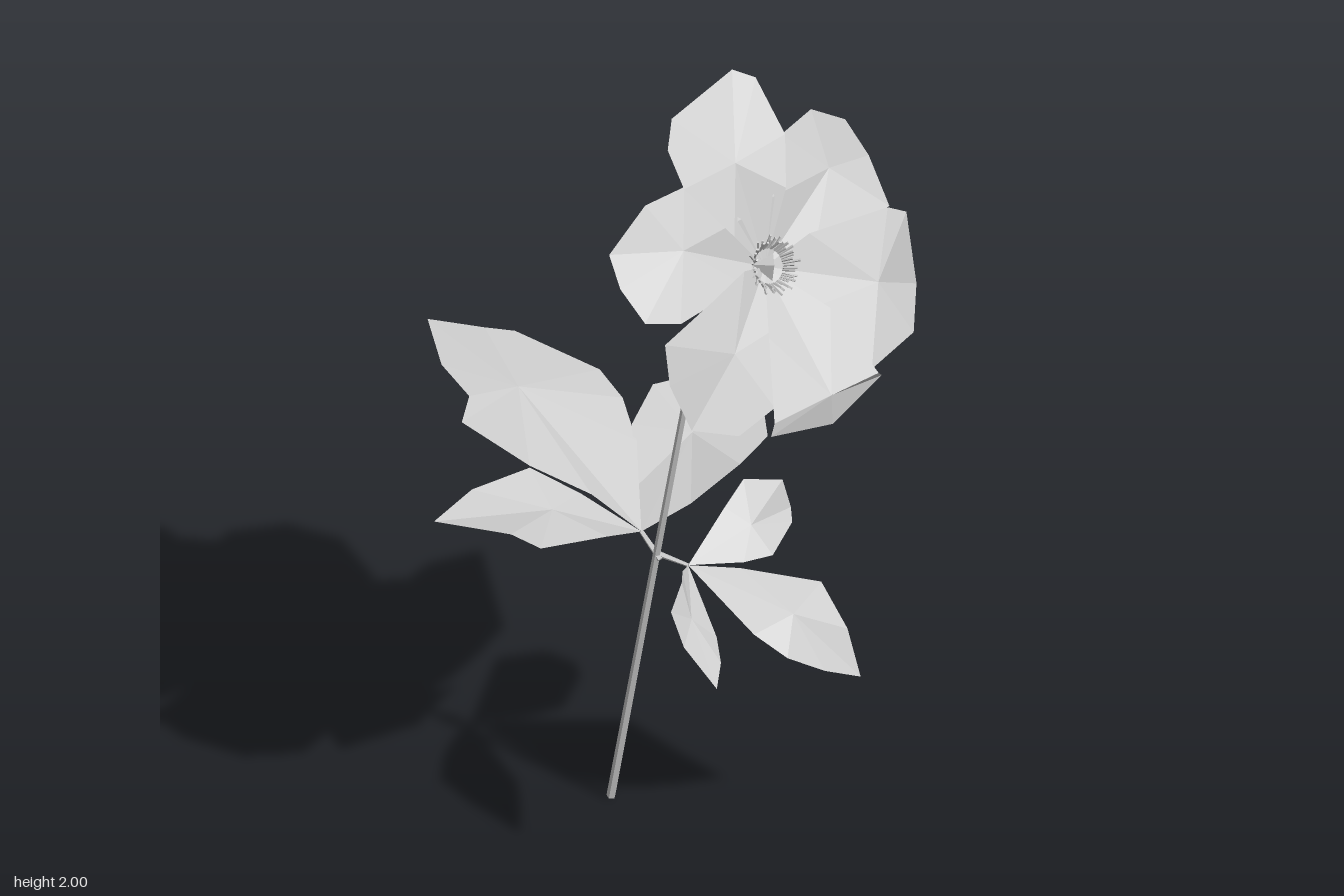
import * as THREE from 'three';

const plantGrey = new THREE.MeshStandardMaterial({ color: 0xcccccc, flatShading: true, side: THREE.DoubleSide });
plantGrey.name = 'plant grey';

const V = (p) => new THREE.Vector3(...p);

function add(parent, name, geometry) {
  const mesh = new THREE.Mesh(geometry, plantGrey);
  mesh.name = name;
  parent.add(mesh);
  return mesh;
}

// Thin faceted blade: a fan of triangles from a raised or sunken middle to its rim
function blade(parent, name, middle, rim) {
  const points = [];
  rim.forEach((p, i) => points.push(V(middle), V(p), V(rim[(i + 1) % rim.length])));
  const geometry = new THREE.BufferGeometry().setFromPoints(points);
  geometry.computeVertexNormals();
  return add(parent, name, geometry);
}

// Tapered rod between two points
function rod(parent, name, a, b, ra, rb, sides = 5) {
  const axis = b.clone().sub(a);
  const mesh = add(parent, name, new THREE.CylinderGeometry(rb, ra, axis.length(), sides));
  mesh.position.copy(a).addScaledVector(axis, 0.5);
  mesh.quaternion.setFromUnitVectors(new THREE.Vector3(0, 1, 0), axis.normalize());
  return mesh;
}

export function createModel() {
  const group = new THREE.Group();
  group.name = 'flower';

  // Stem, bent forward below the bloom
  rod(group, 'stem', V([-0.038, 0, -0.06]), V([-0.037, 1.45, 0.22]), 0.01, 0.007);
  rod(group, 'lowerNeck', V([-0.037, 1.445, 0.219]), V([-0.036, 1.545, 0.28]), 0.007, 0.008);
  rod(group, 'upperNeck', V([-0.036, 1.542, 0.277]), V([-0.036, 1.655, 0.39]), 0.008, 0.011);

  // Six cupped petals, overlapping near the heart
  const heart = [-0.036, 1.66, 0.405];
  const petals = new THREE.Group();
  petals.name = 'petals';
  group.add(petals);
  blade(petals, 'topPetal', [-0.04, 1.89, 0.32], [heart, [-0.11, 1.77, 0.39], [-0.19, 1.9, 0.32],
    [-0.185, 1.97, 0.265], [-0.13, 2, 0.22], [0.08, 2, 0.185], [0.115, 1.98, 0.22], [0.105, 1.89, 0.32], [0.05, 1.81, 0.38]]);
  blade(petals, 'upperRightPetal', [-0.23, 1.78, 0.36], [heart, [-0.075, 1.79, 0.375], [-0.175, 1.89, 0.305],
    [-0.27, 1.88, 0.285], [-0.38, 1.81, 0.29], [-0.405, 1.765, 0.35], [-0.4, 1.71, 0.42], [-0.32, 1.68, 0.445], [-0.12, 1.67, 0.43]]);
  blade(petals, 'lowerRightPetal', [-0.21, 1.57, 0.495], [heart, [-0.11, 1.695, 0.42], [-0.22, 1.685, 0.44], [-0.385, 1.67, 0.465],
    [-0.395, 1.58, 0.49], [-0.36, 1.46, 0.52], [-0.265, 1.42, 0.565], [-0.17, 1.45, 0.575], [-0.075, 1.57, 0.49]]);
  blade(petals, 'bottomPetal', [-0.04, 1.435, 0.612], [heart, [-0.12, 1.57, 0.505], [-0.19, 1.43, 0.595],
    [-0.2, 1.4, 0.595], [-0.03, 1.35, 0.605], [0.13, 1.385, 0.588], [0.09, 1.43, 0.62], [0.055, 1.56, 0.51]]);
  blade(petals, 'lowerLeftPetal', [0.19, 1.56, 0.515], [heart, [0.005, 1.57, 0.49], [0.085, 1.435, 0.605],
    [0.25, 1.42, 0.56], [0.335, 1.46, 0.48], [0.32, 1.65, 0.465], [0.275, 1.68, 0.455], [0.08, 1.695, 0.42]]);
  blade(petals, 'upperLeftPetal', [0.19, 1.78, 0.365], [heart, [0.015, 1.8, 0.375], [0.1, 1.89, 0.315],
    [0.195, 1.9, 0.305], [0.295, 1.82, 0.305], [0.335, 1.72, 0.335], [0.285, 1.675, 0.45], [0.09, 1.67, 0.43]]);

  // Ring of short stamens around a three-sided pistil, facing along the bloom's axis
  const centre = new THREE.Group();
  centre.name = 'flowerCentre';
  centre.position.set(...heart);
  centre.quaternion.setFromUnitVectors(new THREE.Vector3(0, 1, 0), new THREE.Vector3(0, 0.55, 0.83).normalize());
  group.add(centre);
  const count = 48;
  for (let i = 0; i < count; i++) {
    const a = (i / count) * Math.PI * 2;
    const reach = [0.058, 0.05, 0.064, 0.054][i % 4];
    const at = (r, y) => new THREE.Vector3(Math.cos(a) * r, y, Math.sin(a) * r);
    rod(centre, 'stamen', at(0.038, 0.012), at(reach, 0.032 + (i % 3) * 0.005), 0.0025, 0.003, 4);
  }
  const pistil = add(centre, 'pistil', new THREE.ConeGeometry(0.034, 0.03, 3));
  pistil.position.y = 0.02;

  // Small sepals behind the bloom
  for (let i = 0; i < 5; i++) {
    const a = (i / 5) * Math.PI * 2;
    const at = (angle, r, y) => [Math.cos(angle) * r, y, Math.sin(angle) * r];
    blade(centre, 'sepal', at(a, 0.025, -0.006),
      [at(a - 0.6, 0.01, -0.014), at(a - 0.3, 0.03, -0.006), at(a, 0.055, 0), at(a + 0.3, 0.03, -0.006), at(a + 0.6, 0.01, -0.014)]);
  }

  // Rear leaf cluster
  const rear = new THREE.Group();
  rear.name = 'rearLeaves';
  group.add(rear);
  const rearNode = [-0.036, 0.75, 0.03];
  rod(rear, 'rearLeafStalk', V([-0.038, 0.71, 0.09]), V(rearNode), 0.007, 0.005);
  blade(rear, 'rearLeaf', [-0.03, 0.922, -0.35], [rearNode, [-0.095, 0.83, -0.06], [-0.17, 0.885, -0.17],
    [-0.205, 0.925, -0.34], [-0.14, 0.935, -0.385], [-0.12, 0.95, -0.49], [-0.036, 0.955, -0.62],
    [0.035, 0.95, -0.52], [0.08, 0.942, -0.475], [0.145, 0.91, -0.285], [0.13, 0.89, -0.2], [0.085, 0.85, -0.11]]);
  blade(rear, 'rearRightLeaf', [-0.2, 0.84, -0.07], [rearNode, [-0.1, 0.82, -0.09], [-0.17, 0.88, -0.17],
    [-0.31, 0.88, -0.2], [-0.44, 0.875, -0.18], [-0.345, 0.865, -0.045], [-0.32, 0.85, 0.02], [-0.145, 0.8, 0.04]]);
  blade(rear, 'rearLeftLeaf', [0.18, 0.86, -0.04], [rearNode, [0.02, 0.79, -0.05], [0.1, 0.87, -0.14],
    [0.19, 0.91, -0.17], [0.26, 0.915, -0.135], [0.33, 0.92, -0.14], [0.44, 0.89, -0.12],
    [0.285, 0.86, 0.08], [0.185, 0.85, 0.1], [0.07, 0.79, 0.07]]);

  // Front leaf cluster
  const front = new THREE.Group();
  front.name = 'frontLeaves';
  group.add(front);
  const frontNode = [-0.005, 0.705, 0.14];
  rod(front, 'frontLeafStalk', V([-0.038, 0.72, 0.075]), V(frontNode), 0.007, 0.004);
  blade(front, 'frontRightLeaf', [-0.12, 0.695, 0.27], [frontNode, [-0.06, 0.74, 0.18], [-0.12, 0.775, 0.24],
    [-0.185, 0.75, 0.275], [-0.2, 0.695, 0.33], [-0.2, 0.64, 0.43], [-0.14, 0.65, 0.38], [-0.085, 0.65, 0.31]]);
  blade(front, 'frontLeftLeaf', [0.16, 0.735, 0.16], [frontNode, [0.13, 0.77, 0.11], [0.195, 0.805, 0.1],
    [0.285, 0.77, 0.125], [0.295, 0.7, 0.14], [0.27, 0.69, 0.17], [0.17, 0.68, 0.215], [0.1, 0.69, 0.2]]);
  blade(front, 'frontLowerLeaf', [0.11, 0.625, 0.34], [frontNode, [0.005, 0.62, 0.33], [0.04, 0.575, 0.395],
    [0.125, 0.51, 0.42], [0.22, 0.45, 0.43], [0.225, 0.55, 0.385], [0.23, 0.625, 0.3], [0.09, 0.68, 0.2]]);

  return group;
}
